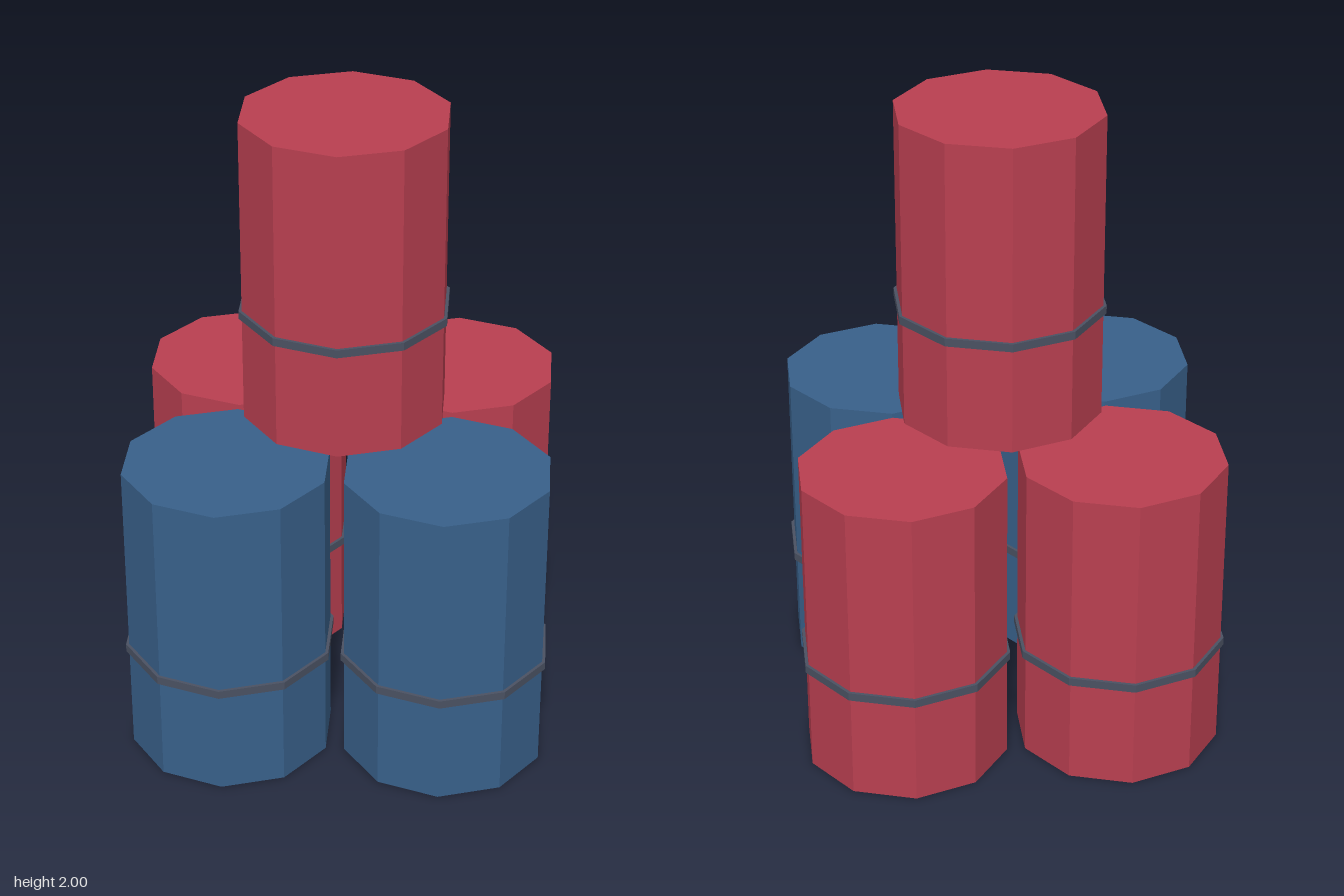
import * as THREE from 'three';

const SIDES = 10;
const RADIUS = 0.324;
const HEIGHT = 0.988;

export function createModel() {
  const red = new THREE.MeshStandardMaterial({ color: 0xb83f50 });
  red.name = 'barrel red';
  const blue = new THREE.MeshStandardMaterial({ color: 0x38608a });
  blue.name = 'barrel blue';
  const steel = new THREE.MeshStandardMaterial({ color: 0x4a5162 });
  steel.name = 'band grey';
  for (const m of [red, blue, steel]) m.flatShading = true;

  const bodyGeometry = new THREE.CylinderGeometry(RADIUS, RADIUS, HEIGHT, SIDES);
  const bandGeometry = new THREE.CylinderGeometry(0.334, 0.334, 0.026, SIDES);

  const model = new THREE.Group();
  model.name = 'barrelStack';

  // One ten-sided barrel with a thin band around its lower third
  function addBarrel(name, material, x, y, z) {
    const barrel = new THREE.Group();
    barrel.name = name;
    const body = new THREE.Mesh(bodyGeometry, material);
    body.name = 'barrelBody';
    body.position.y = HEIGHT / 2;
    const band = new THREE.Mesh(bandGeometry, steel);
    band.name = 'barrelBand';
    band.position.y = 0.357;
    barrel.add(body, band);
    barrel.position.set(x, y, z);
    model.add(barrel);
  }

  // Bottom layer: blue pair in front, red pair behind
  for (const [side, x] of [['Left', 0.337], ['Right', -0.337]]) {
    addBarrel('front' + side + 'Barrel', blue, x, 0, 0.337);
    addBarrel('back' + side + 'Barrel', red, x, 0, -0.337);
  }

  // Single barrel on top
  addBarrel('topBarrel', red, 0, 2 - HEIGHT, 0);

  return model;
}
